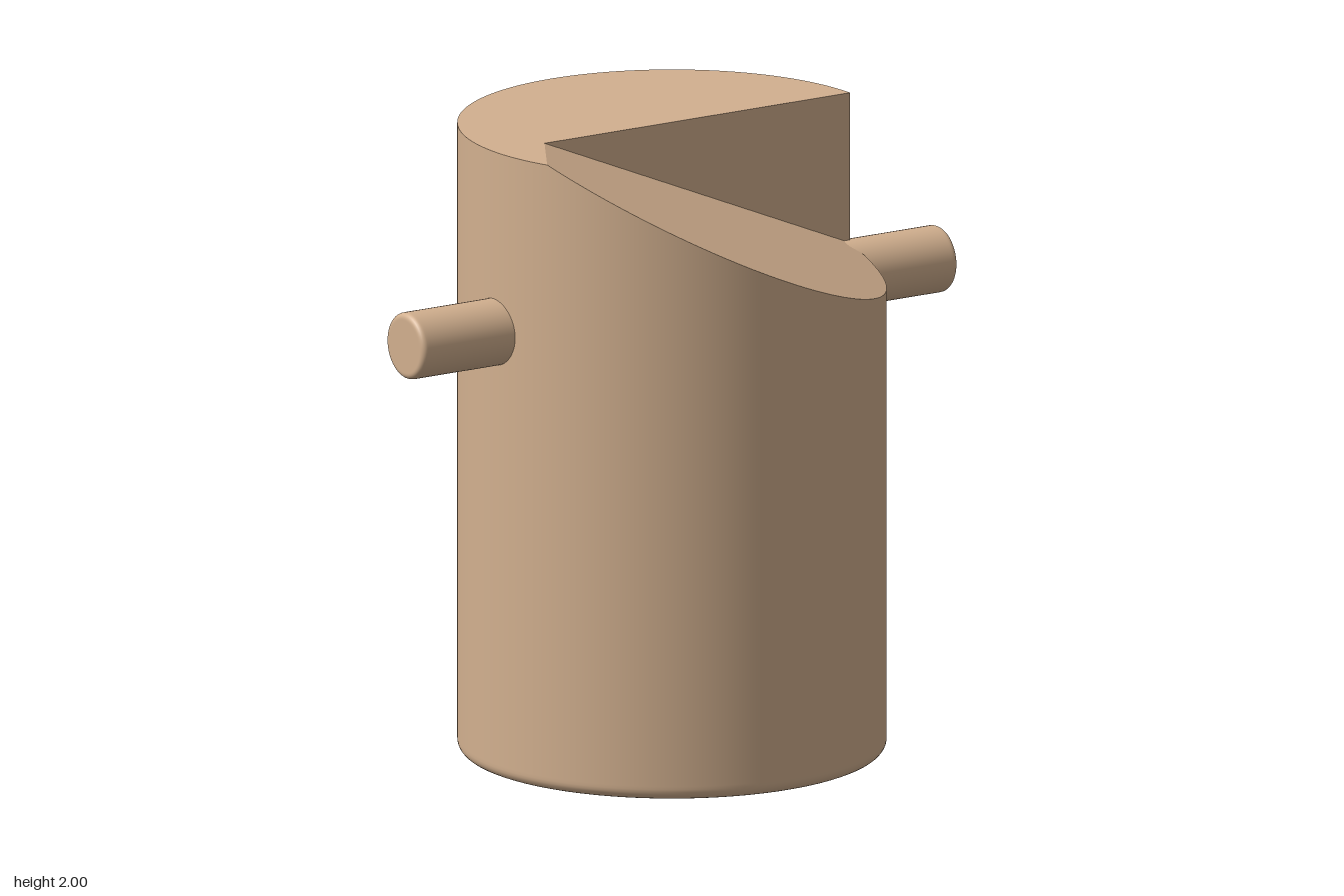
import * as THREE from 'three';

const R = 0.665, H = 2;
// Slanted cut plane: height over a point (x, z) in the front half
const cutY = (x, z) => 1.8 - 0.42 * x - 0.265 * z;
const APEX = -(H - 1.8) / 0.42; // x where the cut meets the flat top along z = 0
// Angle (from +x towards +z) at which the cut leaves the rim
const T_CUT = Math.atan2(0.265, 0.42) + Math.acos(-0.2 / (Math.hypot(0.42, 0.265) * R));

// Points of a small rounded corner, from the flat end outwards to the side
function corner(radius, y, b, dir) {
  const pts = [];
  for (let i = 0; i <= 6; i++) {
    const a = (i / 6) * Math.PI / 2;
    pts.push(new THREE.Vector2(radius - b + b * Math.sin(a), y + dir * (b - b * Math.cos(a))));
  }
  return pts;
}

// Rim points in the shape plane (x, -z)
function rim(t0, t1, n) {
  return Array.from({ length: n + 1 }, (_, i) => {
    const t = t0 + (t1 - t0) * i / n;
    return new THREE.Vector2(R * Math.cos(t), -R * Math.sin(t));
  });
}

export function createModel() {
  const group = new THREE.Group();
  const tan = new THREE.MeshStandardMaterial({ color: 0xd2b08f });
  const add = (name, geometry) => {
    const mesh = new THREE.Mesh(geometry, tan);
    mesh.name = name;
    group.add(mesh);
  };

  // Body wall with rounded foot and closed base
  const b = 0.035;
  const profile = [
    new THREE.Vector2(0, 0), new THREE.Vector2(R - b - 0.01, 0),
    ...corner(R, 0, b, 1),
    new THREE.Vector2(R, b + 0.01), new THREE.Vector2(R, H),
  ];
  add('backWall', new THREE.LatheGeometry(profile, 96, Math.PI / 2, 2 * Math.PI - T_CUT));

  // Front wall: the top ring is lowered onto the cut plane
  const front = new THREE.LatheGeometry(profile, 72, Math.PI / 2 - T_CUT, T_CUT);
  const p = front.attributes.position;
  for (let i = 0; i < p.count; i++) {
    if (p.getY(i) > H - 0.001) p.setY(i, cutY(p.getX(i), p.getZ(i)));
  }
  add('frontWall', front);

  // Flat top behind the cut
  const top = new THREE.ShapeGeometry(new THREE.Shape([
    ...rim(T_CUT, 2 * Math.PI, 96), new THREE.Vector2(APEX, 0),
  ]));
  top.rotateX(-Math.PI / 2).translate(0, H, 0);
  add('flatTop', top);

  // Slanted face
  const slope = new THREE.ShapeGeometry(new THREE.Shape([
    ...rim(0, T_CUT, 72), new THREE.Vector2(APEX, 0),
  ]));
  slope.rotateX(-Math.PI / 2);
  const s = slope.attributes.position;
  for (let i = 0; i < s.count; i++) s.setY(i, cutY(s.getX(i), s.getZ(i)));
  slope.computeVertexNormals();
  add('slantedFace', slope);

  // Upright triangular face of the notch
  add('notchWall', new THREE.ShapeGeometry(new THREE.Shape([
    new THREE.Vector2(APEX, H), new THREE.Vector2(R, cutY(R, 0)), new THREE.Vector2(R, H),
  ])));

  // Cross pin running through the body
  const r = 0.105, c = 0.018;
  const pin = new THREE.LatheGeometry([
    new THREE.Vector2(0, -1), new THREE.Vector2(r - c - 0.004, -1),
    ...corner(r, -1, c, 1), new THREE.Vector2(r, -0.975),
    new THREE.Vector2(r, 0.975), ...corner(r, 1, c, -1).reverse(),
    new THREE.Vector2(r - c - 0.004, 1), new THREE.Vector2(0, 1),
  ], 48);
  pin.rotateZ(Math.PI / 2).translate(0, 1.425, 0);
  add('crossPin', pin);

  return group;
}
